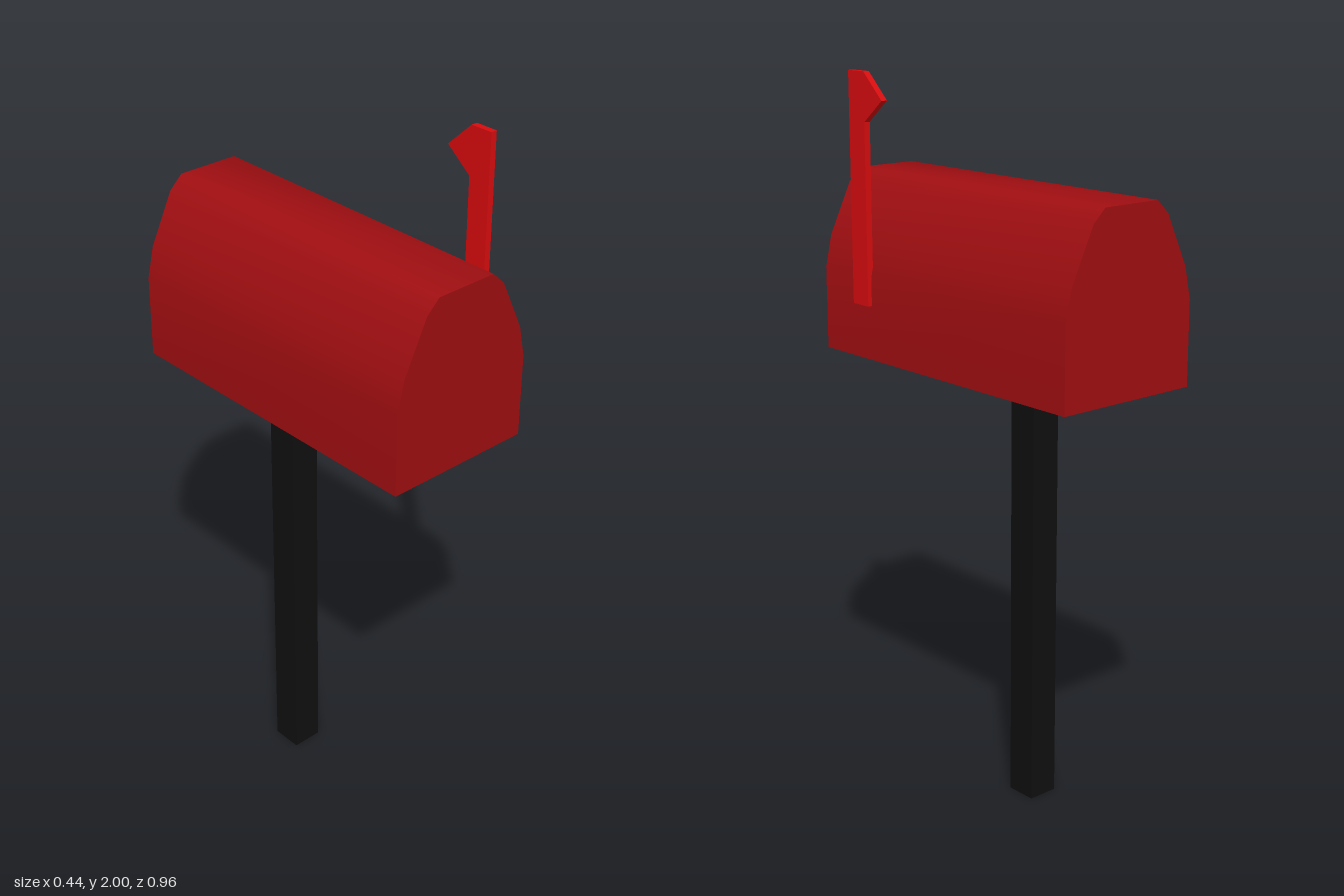
import * as THREE from 'three';
import { toCreasedNormals } from 'three/addons/utils/BufferGeometryUtils.js';

const paint = (name, color) => {
  const m = new THREE.MeshStandardMaterial({ color });
  m.name = name;
  return m;
};

// Extrude a polygon outline along +z
const prism = (points, depth) => new THREE.ExtrudeGeometry(
  new THREE.Shape(points.map(([x, y]) => new THREE.Vector2(x, y))),
  { depth, bevelEnabled: false });

export function createModel() {
  const group = new THREE.Group();
  const add = (name, geometry, material) => {
    const mesh = new THREE.Mesh(geometry, material);
    mesh.name = name;
    group.add(mesh);
  };
  const darkRed = paint('darkRed', 0xa00e11);
  const brightRed = paint('brightRed', 0xd80c0e);
  const black = paint('black', 0x0f0f0f);

  // Box with a rounded roof: right half of the outline, then mirrored
  const half = [[0.216, 1.23], [0.216, 1.458], [0.196, 1.545], [0.128, 1.686], [0.09, 1.722]];
  const outline = [...half, ...half.map(([x, y]) => [-x, y]).reverse()];
  const box = prism(outline, 0.96).translate(-0.007, 0, -0.48);
  add('mailboxBody', toCreasedNormals(box, 0.95), darkRed);

  // Square post, set off-centre under the box
  add('post', new THREE.BoxGeometry(0.088, 1.23, 0.088).translate(-0.042, 0.615, -0.102), black);

  // Raised flag on the left side, outline given as (z, y)
  const flag = prism([[0.34, 1.38], [0.34, 2], [0.275, 2], [0.2, 1.93], [0.275, 1.87], [0.275, 1.38]], 0.018);
  add('flag', flag.rotateY(-Math.PI / 2).translate(0.221, 0, 0), brightRed);

  return group;
}
